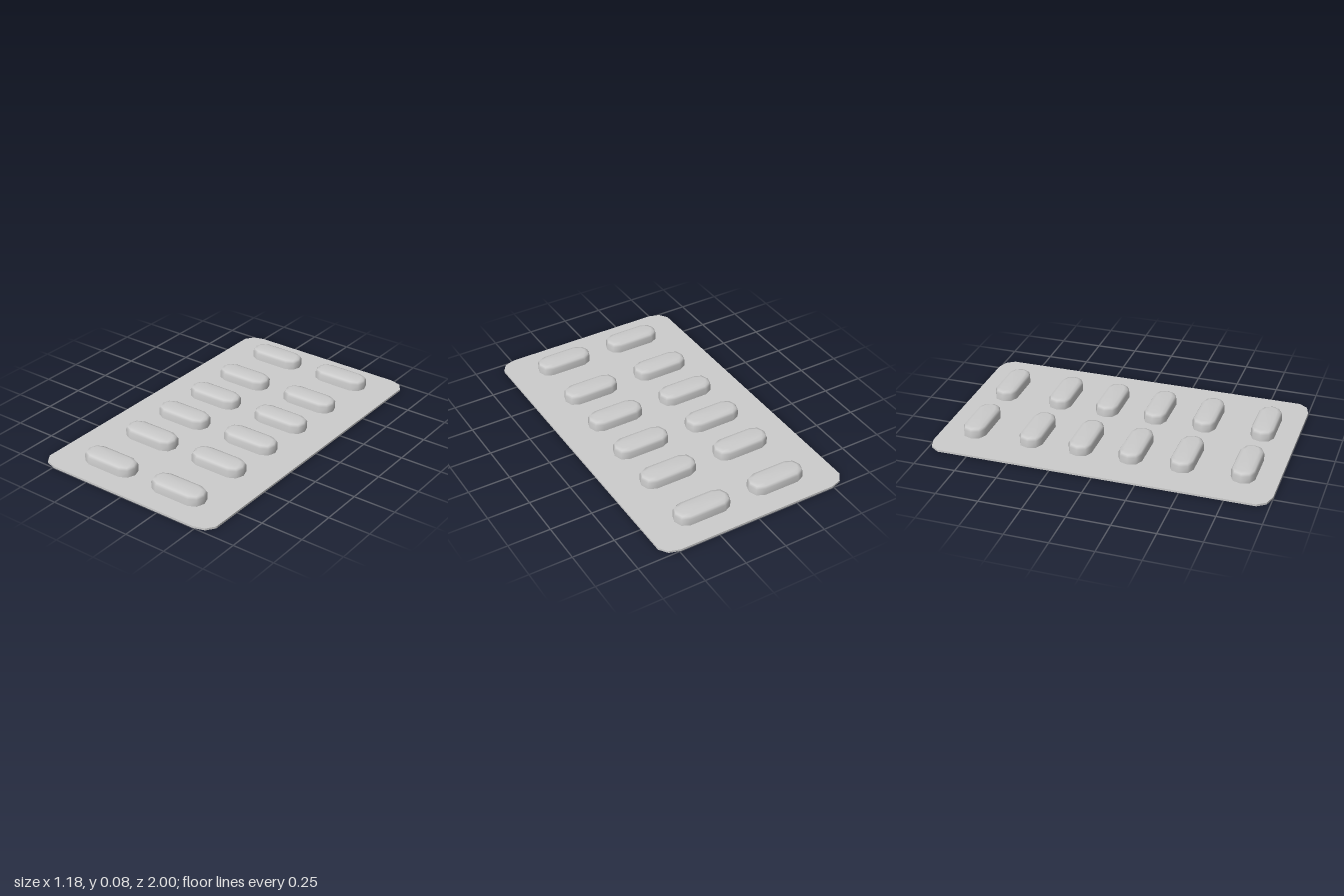
import * as THREE from 'three';

const material = new THREE.MeshStandardMaterial({ color: 0xcccccc });
const THICK = 0.012;

// Flat backing card with chamfer-rounded corners
function cardGeometry() {
  const corner = [[0.59, 0.93], [0.555, 0.98], [0.49, 1]];
  const flipped = [...corner].reverse();
  const points = [
    ...corner,
    ...flipped.map(([x, y]) => [-x, y]),
    ...corner.map(([x, y]) => [-x, -y]),
    ...flipped.map(([x, y]) => [x, -y]),
  ].map(([x, y]) => new THREE.Vector2(x, y));
  const geometry = new THREE.ExtrudeGeometry(new THREE.Shape(points), { depth: THICK, bevelEnabled: false });
  return geometry.rotateX(-Math.PI / 2);
}

// Capsule-shaped bubble: stacked stadium loops, smooth, closed on top
function blisterGeometry() {
  const half = [[0.171, 0], [0.155, 0.047], [0.11, 0.069]];
  const outline = [
    ...half,
    ...half.slice(1).reverse().map(([x, z]) => [-x, z]),
    ...half.map(([x, z]) => [-x, -z]),
    ...half.slice(1).reverse().map(([x, z]) => [x, -z]),
  ];
  // [height, inset] for each loop
  const layers = [[THICK / 2, 0], [0.054, 0], [0.068, 0.008], [0.075, 0.027]];
  const n = outline.length;
  const positions = [];
  const index = [];
  for (const [y, inset] of layers) {
    for (const [x, z] of outline) {
      positions.push(x * (1 - inset / 0.171), y, z * (1 - inset / 0.069));
    }
  }
  for (let i = 0; i < layers.length - 1; i++) {
    for (let j = 0; j < n; j++) {
      const a = i * n + j;
      const b = i * n + (j + 1) % n;
      index.push(a, a + n, b, b, a + n, b + n);
    }
  }
  // Top cap
  const top = (layers.length - 1) * n;
  const centre = positions.length / 3;
  positions.push(0, 0.0755, 0);
  for (let j = 0; j < n; j++) index.push(centre, top + (j + 1) % n, top + j);

  const geometry = new THREE.BufferGeometry();
  geometry.setAttribute('position', new THREE.Float32BufferAttribute(positions, 3));
  geometry.setIndex(index);
  geometry.computeVertexNormals();
  return geometry;
}

export function createModel() {
  const model = new THREE.Group();
  model.name = 'blisterPack';

  const card = new THREE.Mesh(cardGeometry(), material);
  card.name = 'backingCard';
  model.add(card);

  // Two columns of six bubbles, end rows spaced wider
  const bubble = blisterGeometry();
  for (const z of [-0.8, -0.45, -0.15, 0.15, 0.45, 0.8]) {
    for (const x of [-0.24, 0.24]) {
      const pill = new THREE.Mesh(bubble, material);
      pill.name = x > 0 ? 'leftPillBubble' : 'rightPillBubble';
      pill.position.set(x, 0, z);
      model.add(pill);
    }
  }
  return model;
}
